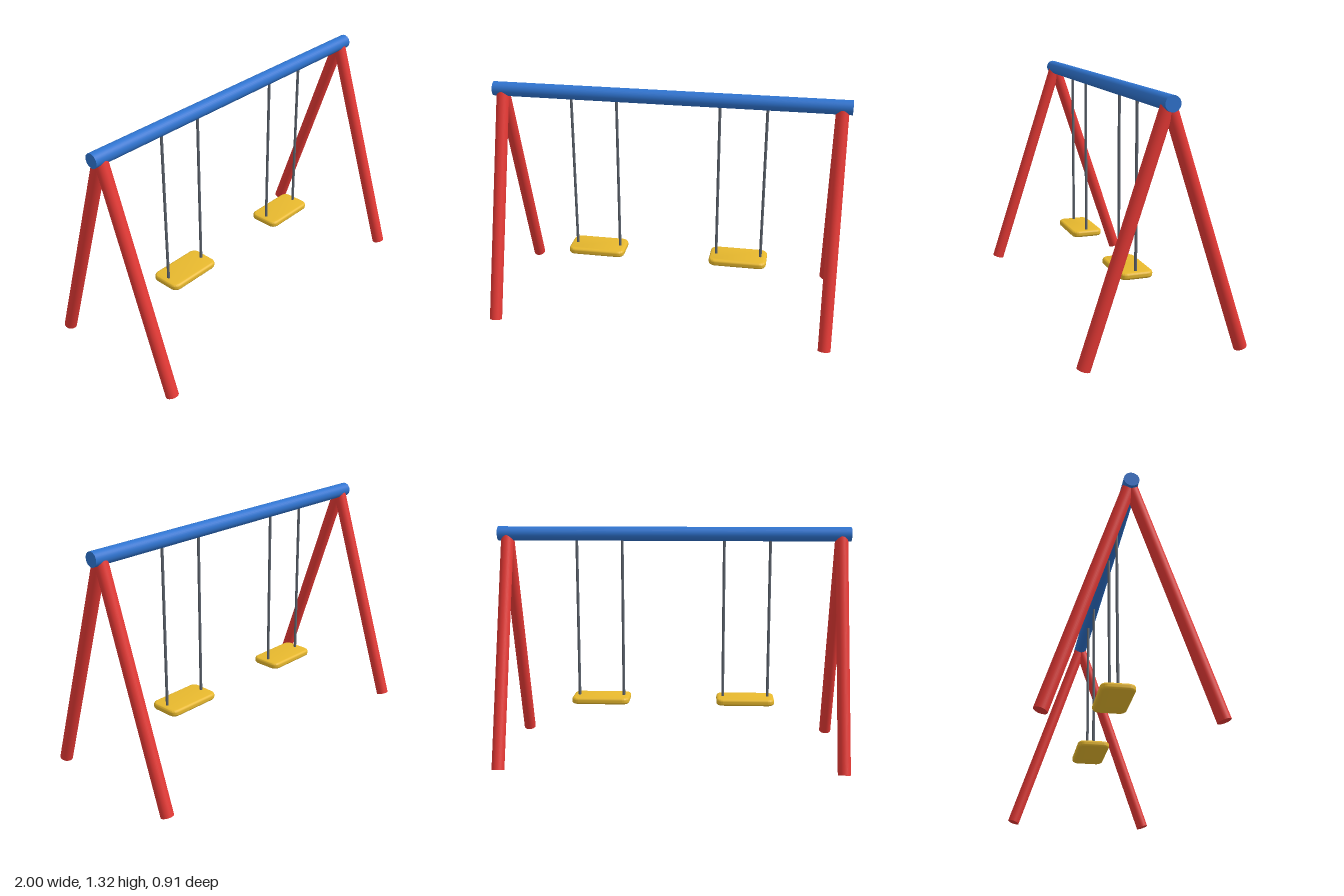
import * as THREE from 'three';
import { toCreasedNormals } from 'three/addons/utils/BufferGeometryUtils.js';

const paint = (color) => new THREE.MeshStandardMaterial({ color });
const BEAM_Y = 1.28;

// Round bar between two points
function bar(name, from, to, radius, sides, material) {
  const axis = new THREE.Vector3().subVectors(to, from);
  const mesh = new THREE.Mesh(new THREE.CylinderGeometry(radius, radius, axis.length(), sides), material);
  mesh.name = name;
  mesh.position.addVectors(from, to).multiplyScalar(0.5);
  mesh.quaternion.setFromUnitVectors(new THREE.Vector3(0, 1, 0), axis.normalize());
  return mesh;
}

// Flat board with rounded corners and softened rims, centred on the origin
function boardGeometry(width, height, depth, corner, bevel) {
  const x = width / 2 - bevel, y = depth / 2 - bevel, r = corner - bevel;
  const shape = new THREE.Shape();
  shape.absarc(x - r, y - r, r, 0, Math.PI / 2);
  shape.absarc(-x + r, y - r, r, Math.PI / 2, Math.PI);
  shape.absarc(-x + r, -y + r, r, Math.PI, Math.PI * 1.5);
  shape.absarc(x - r, -y + r, r, Math.PI * 1.5, Math.PI * 2);
  shape.closePath();
  const geometry = new THREE.ExtrudeGeometry(shape, {
    depth: height - 2 * bevel, bevelSize: bevel, bevelThickness: bevel, bevelSegments: 4, curveSegments: 8,
  });
  geometry.center().rotateX(-Math.PI / 2);
  return toCreasedNormals(geometry, 0.7);
}

export function createModel() {
  const model = new THREE.Group();
  model.name = 'swingSet';
  const red = paint(0xe53935), blue = paint(0x2f74d0), yellow = paint(0xe8b92e), steel = paint(0x5f6670);
  const v = (x, y, z) => new THREE.Vector3(x, y, z);

  // Top beam
  model.add(bar('topBeam', v(-1, BEAM_Y, 0), v(1, BEAM_Y, 0), 0.04, 32, blue));

  // Splayed leg pairs
  for (const side of [-1, 1]) {
    const frame = new THREE.Group();
    frame.name = side > 0 ? 'leftFrame' : 'rightFrame';
    for (const dir of [1, -1]) {
      const name = dir > 0 ? 'frontLeg' : 'backLeg';
      frame.add(bar(name, v(side * 0.947, 0.011, dir * 0.42), v(side * 0.947, BEAM_Y, 0), 0.035, 32, red));
    }
    model.add(frame);
  }

  // Two swings, each a seat on two ropes
  const seatGeometry = boardGeometry(0.334, 0.038, 0.187, 0.04, 0.014);
  for (const side of [-1, 1]) {
    const swing = new THREE.Group();
    swing.name = side > 0 ? 'leftSwing' : 'rightSwing';
    swing.position.x = side * 0.42;
    const seat = new THREE.Mesh(seatGeometry, yellow);
    seat.name = 'seat';
    seat.position.y = 0.319;
    swing.add(seat);
    for (const x of [-0.13, 0.13]) swing.add(bar('rope', v(x, 0.32, 0), v(x, BEAM_Y, 0), 0.008, 12, steel));
    model.add(swing);
  }
  return model;
}
